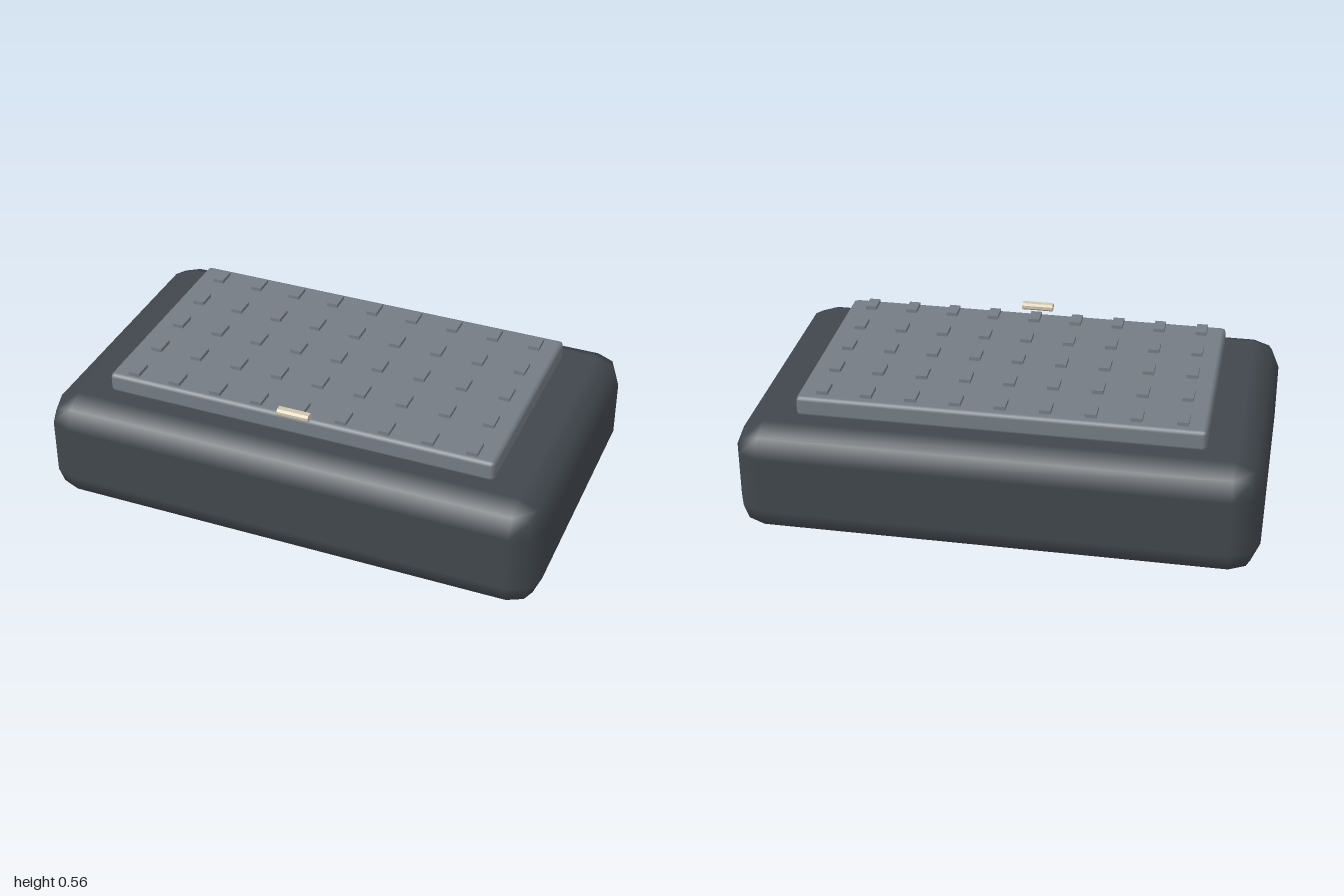
import * as THREE from 'three';
import { RoundedBoxGeometry } from 'three/addons/geometries/RoundedBoxGeometry.js';

const material = (name, color) => {
  const m = new THREE.MeshStandardMaterial({ color });
  m.name = name;
  return m;
};

export function createModel() {
  const model = new THREE.Group();
  model.name = 'keypadBlock';
  const charcoal = material('charcoal', 0x41474d);
  const grey = material('grey', 0x747c84);
  const cream = material('cream', 0xcfc4ac);

  const add = (name, geometry, mat, x, y, z, parent = model) => {
    const mesh = new THREE.Mesh(geometry, mat);
    mesh.name = name;
    mesh.position.set(x, y, z);
    parent.add(mesh);
    return mesh;
  };

  // Heavy body with softly rounded edges
  add('body', new RoundedBoxGeometry(2, 0.445, 1.22, 1, 0.11), charcoal, 0, 0.2225, 0);

  // Raised plate resting on the body
  add('topPlate', new RoundedBoxGeometry(1.556, 0.081, 0.888, 1, 0.016), grey, 0, 0.485, 0);

  // Grid of low studs, nine across and five deep
  const studs = new THREE.Group();
  studs.name = 'studs';
  model.add(studs);
  const studGeometry = new THREE.BoxGeometry(0.044, 0.018, 0.074);
  for (let row = -2; row <= 2; row++) {
    for (let col = -4; col <= 4; col++) {
      add('stud', studGeometry, grey, col * 0.171, 0.531, 0.008 + row * 0.189, studs);
    }
  }

  // Small bar at the front edge: a chamfered section extruded along x
  const w = 0.019, h = 0.014, c = 0.008, length = 0.126;
  const section = new THREE.Shape([
    [w, -h + c], [w, h - c], [w - c, h], [-w + c, h],
    [-w, h - c], [-w, -h + c], [-w + c, -h], [w - c, -h],
  ].map(([x, y]) => new THREE.Vector2(x, y)));
  const bar = new THREE.ExtrudeGeometry(section, { depth: length, bevelEnabled: false });
  bar.translate(0, 0, -length / 2).rotateY(Math.PI / 2);
  add('frontBar', bar, cream, 0, 0.549, 0.455);

  return model;
}
